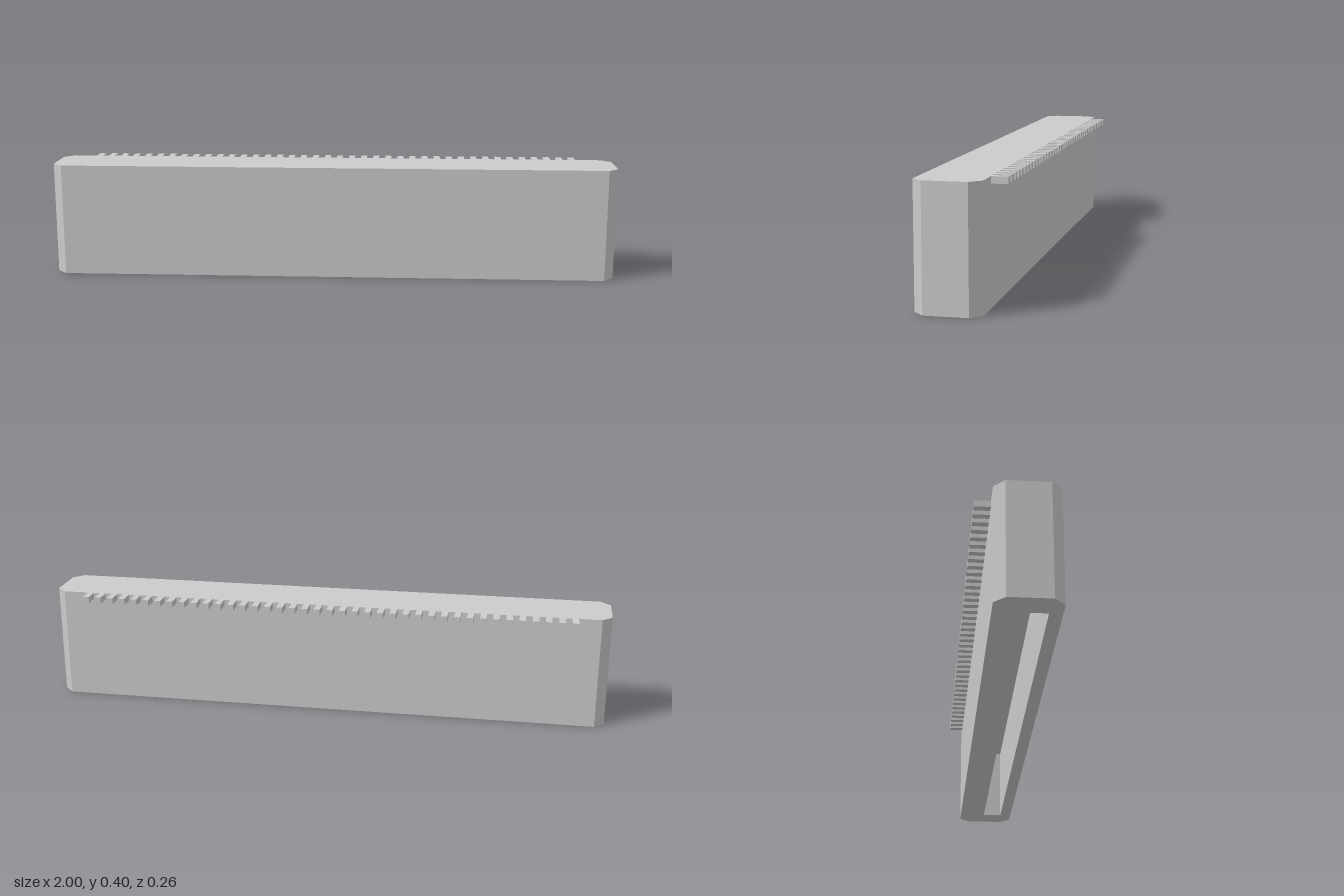
import * as THREE from 'three';
import { mergeGeometries } from 'three/addons/utils/BufferGeometryUtils.js';

const HEIGHT = 0.396, BACK = -0.078, FRONT = 0.132, CHAMFER = 0.035;
const SLOT_DEPTH = 0.28;
const PINS = 40, FIRST_PIN = -0.875, LAST_PIN = 0.864;

// Rectangle in the x-z plane with cut corners, counter-clockwise
function outline(halfX, z0, z1, c) {
  const pts = [
    [halfX - c, z0], [halfX, z0 + c], [halfX, z1 - c], [halfX - c, z1],
    [-halfX + c, z1], [-halfX, z1 - c], [-halfX, z0 + c], [-halfX + c, z0],
  ];
  const all = c > 0 ? pts : pts.filter((_, i) => i % 2 === 0);
  return all.map(([x, z]) => new THREE.Vector2(x, z));
}

// Upright walls along a closed outline; inward walls face the middle
function walls(pts, y0, y1, inward = false) {
  const pos = [];
  pts.forEach((p, i) => {
    let a = p, b = pts[(i + 1) % pts.length];
    if (inward) [a, b] = [b, a];
    pos.push(a.x, y0, a.y, a.x, y1, a.y, b.x, y1, b.y);
    pos.push(a.x, y0, a.y, b.x, y1, b.y, b.x, y0, b.y);
  });
  const g = new THREE.BufferGeometry();
  g.setAttribute('position', new THREE.Float32BufferAttribute(pos, 3));
  g.computeVertexNormals();
  return g;
}

// Flat horizontal face facing down, with an optional hole
function downFace(pts, y, hole) {
  const shape = new THREE.Shape(pts);
  if (hole) shape.holes.push(new THREE.Path(hole));
  const g = new THREE.ShapeGeometry(shape).toNonIndexed();
  g.deleteAttribute('uv');
  return g.rotateX(Math.PI / 2).translate(0, y, 0);
}

// Flat horizontal face facing up
function upFace(pts, y) {
  const shape = new THREE.Shape(pts.map((p) => new THREE.Vector2(p.x, -p.y)));
  const g = new THREE.ShapeGeometry(shape).toNonIndexed();
  g.deleteAttribute('uv');
  return g.rotateX(-Math.PI / 2).translate(0, y, 0);
}

export function createModel() {
  const model = new THREE.Group();
  model.name = 'edgeConnector';
  const material = new THREE.MeshStandardMaterial({ color: 0xcccccc, flatShading: true });

  // Housing with chamfered corners and a long slot in its underside
  const outer = outline(1, BACK, FRONT, CHAMFER);
  const slot = outline(0.91, 0.02, 0.09, 0);
  const housing = new THREE.Mesh(mergeGeometries([
    walls(outer, 0, HEIGHT),
    upFace(outer, HEIGHT),
    downFace(outer, 0, slot),
    walls(slot, 0, SLOT_DEPTH, true),
    downFace(slot, SLOT_DEPTH),
  ]), material);
  housing.name = 'housing';
  model.add(housing);

  // Row of contact pins along the top of the back
  const pins = new THREE.Group();
  pins.name = 'pins';
  const pinGeometry = new THREE.BoxGeometry(0.022, 0.022, 0.053);
  for (let i = 0; i < PINS; i++) {
    const pin = new THREE.Mesh(pinGeometry, material);
    pin.name = 'pin';
    const x = THREE.MathUtils.lerp(FIRST_PIN, LAST_PIN, i / (PINS - 1));
    pin.position.set(x, HEIGHT - 0.011, BACK - 0.0265);
    pins.add(pin);
  }
  model.add(pins);

  return model;
}
